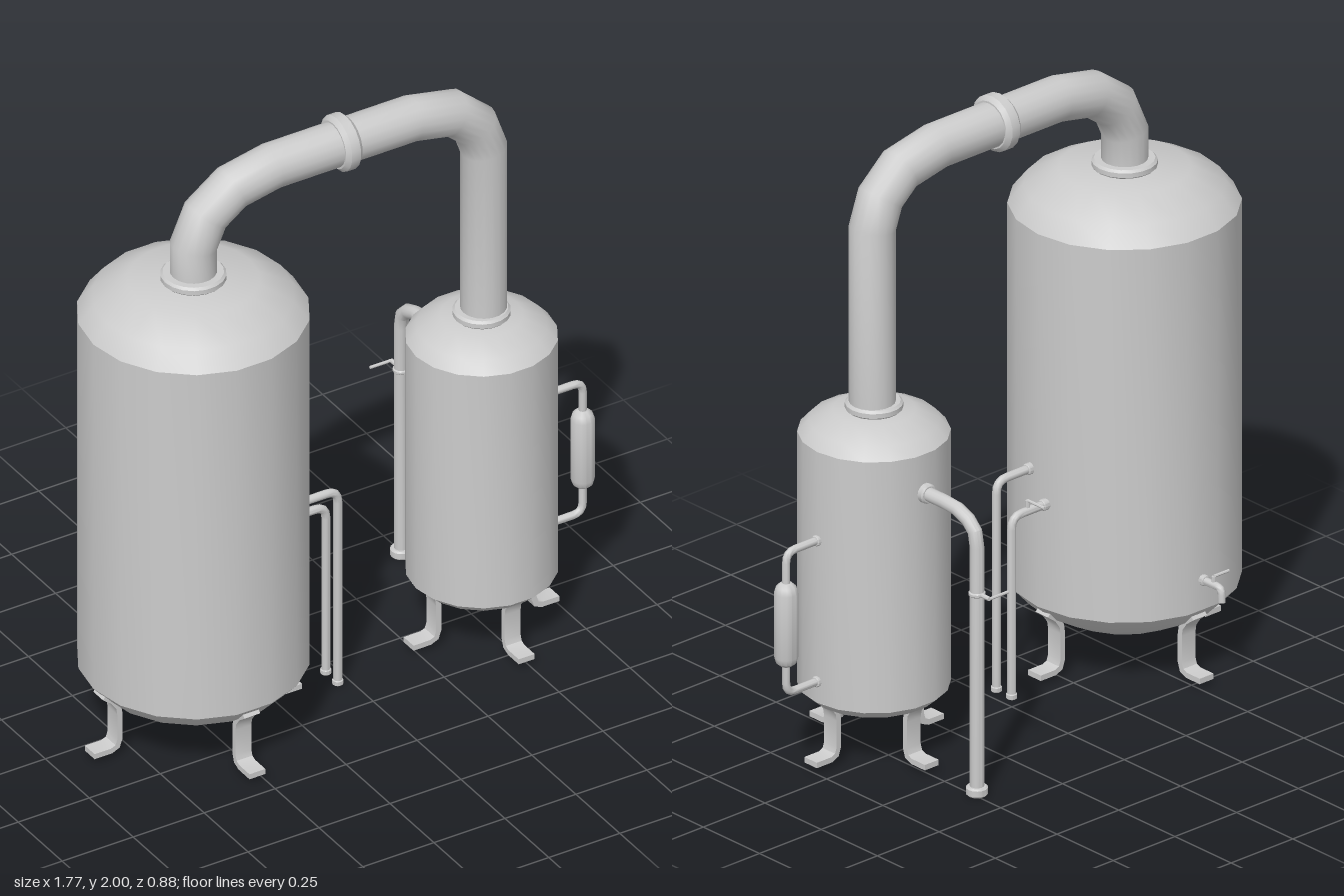
import * as THREE from 'three';
import { toCreasedNormals } from 'three/addons/utils/BufferGeometryUtils.js';

const V = (x, y, z) => new THREE.Vector3(x, y, z);
const material = new THREE.MeshStandardMaterial({ color: 0xcccccc });
const Z = 0.075; // depth of the shared centre line

function add(parent, name, geometry, x = 0, y = 0, z = 0) {
  const mesh = new THREE.Mesh(toCreasedNormals(geometry, 0.65), material);
  mesh.name = name;
  mesh.position.set(x, y, z);
  parent.add(mesh);
  return mesh;
}

// Turned part from [radius, height] pairs, with a corner on the x axis
function turned(profile, sides = 18) {
  return new THREE.LatheGeometry(profile.map(p => new THREE.Vector2(p[0], p[1])), sides)
    .rotateY(Math.PI / 2);
}

// Disc with small bevels, running from y = 0 to y = h
function collar(r, h, sides = 18) {
  const b = Math.min(h * 0.25, r * 0.15);
  return turned([[0, 0], [r - b, 0], [r, b], [r, h - b], [r - b, h], [0, h]], sides);
}

// Sweep a closed [normal, binormal] section along a planar path with mitred joints
function sweep(path, section) {
  const dirs = path.slice(1).map((p, i) => p.clone().sub(path[i]).normalize());
  const bin = V(0, 0, 0);
  for (let i = 1; i < dirs.length && bin.lengthSq() < 1e-4; i++) bin.crossVectors(dirs[i - 1], dirs[i]);
  if (bin.lengthSq() < 1e-4) bin.crossVectors(dirs[0], Math.abs(dirs[0].y) > 0.9 ? V(1, 0, 0) : V(0, 1, 0));
  bin.normalize();
  const pos = [], index = [], n = section.length, last = path.length - 1;
  path.forEach((p, i) => {
    const a = dirs[Math.max(i - 1, 0)], b = dirs[Math.min(i, last - 1)];
    const t = a.clone().add(b).normalize();
    const normal = bin.clone().cross(t).divideScalar(t.dot(a));
    for (const [u, v] of section) {
      pos.push(...p.clone().addScaledVector(normal, u).addScaledVector(bin, v).toArray());
    }
  });
  for (let i = 0; i < last; i++) {
    for (let j = 0; j < n; j++) {
      const a = i * n + j, b = i * n + (j + 1) % n;
      index.push(a, b, a + n, b, b + n, a + n);
    }
  }
  for (let j = 1; j < n - 1; j++) {
    index.push(0, j + 1, j, last * n, last * n + j, last * n + j + 1);
  }
  const g = new THREE.BufferGeometry();
  g.setAttribute('position', new THREE.Float32BufferAttribute(pos, 3));
  g.setIndex(index);
  return g;
}

function pipe(path, r, sides = 12) {
  return sweep(path, Array.from({ length: sides }, (_, i) => {
    const a = i / sides * Math.PI * 2;
    return [Math.cos(a) * r, Math.sin(a) * r];
  }));
}

// Replace the inner corners of a path with short bends
function rounded(points, cut) {
  const out = [points[0]];
  for (let i = 1; i < points.length - 1; i++) {
    const toward = q => points[i].clone().add(q.clone().sub(points[i]).setLength(cut));
    out.push(...new THREE.QuadraticBezierCurve3(
      toward(points[i - 1]), points[i], toward(points[i + 1])).getPoints(4));
  }
  out.push(points[points.length - 1]);
  return out;
}

// Four bent strap legs around a tank; shift moves them in or out
function addLegs(parent, x, shift) {
  const path = [[0.33, 0.226], [0.3, 0.203], [0.28, 0.175], [0.276, 0.15],
    [0.276, 0.06], [0.284, 0.036], [0.305, 0.027], [0.365, 0.027]]
    .map(([r, y]) => V(r + shift, y, 0));
  const strap = [[-0.009, -0.028], [0.009, -0.028], [0.009, 0.028], [-0.009, 0.028]];
  for (let i = 0; i < 4; i++) {
    add(parent, 'leg', sweep(path, strap), x, 0, Z).rotation.y = i * Math.PI / 2;
  }
}

// Small tap: upright stem with a thin lever
function addTap(parent, base, top, end) {
  add(parent, 'tapStem', pipe([base, top], 0.007, 8));
  add(parent, 'tapLever', pipe([top, end], 0.005, 8));
}

export function createModel() {
  const model = new THREE.Group();
  const big = new THREE.Group(), small = new THREE.Group(), link = new THREE.Group();
  big.name = 'largeTank';
  small.name = 'smallTank';
  link.name = 'connectingPipe';
  model.add(big, small, link);
  const bx = -0.525, sx = 0.49;

  // Large tank
  add(big, 'largeTankBody', turned([[0, 0.138], [0.2, 0.14], [0.305, 0.198], [0.352, 0.25],
    [0.352, 1.485], [0.305, 1.545], [0.2, 1.6], [0, 1.602]]), bx, 0, Z);
  add(big, 'largeTankCollar', collar(0.1, 0.03), bx, 1.598, Z);
  addLegs(big, bx, 0);

  // Two outlet pipes on the side of the large tank
  for (const [y, z] of [[0.695, 0.113], [0.6, 0.045]]) {
    add(big, 'outletPipe', pipe(rounded([V(-0.2, y, z), V(-0.04, y, z), V(-0.04, 0.005, z)], 0.04), 0.0135));
    add(big, 'outletCollar', collar(0.018, 0.03, 12), -0.19, y, z).rotation.z = -Math.PI / 2;
    add(big, 'outletFoot', collar(0.017, 0.018, 12), -0.04, 0, z);
  }
  addTap(big, V(-0.105, 0.6, 0.045), V(-0.105, 0.635, 0.045), V(-0.105, 0.635, -0.03));

  // Drain spout at the back of the large tank
  add(big, 'drainSpout', pipe(rounded([V(bx, 0.35, -0.25), V(bx, 0.35, -0.357), V(bx, 0.305, -0.357)], 0.02), 0.012));
  add(big, 'drainCollar', collar(0.017, 0.025, 12), bx, 0.35, -0.262).rotation.x = -Math.PI / 2;
  addTap(big, V(bx, 0.35, -0.322), V(bx, 0.378, -0.322), V(bx - 0.06, 0.378, -0.322));

  // Small tank
  add(small, 'smallTankBody', turned([[0, 0.153], [0.125, 0.155], [0.198, 0.187], [0.231, 0.217],
    [0.231, 1.048], [0.198, 1.085], [0.125, 1.12], [0, 1.122]]), sx, 0, Z);
  add(small, 'smallTankCollar', collar(0.088, 0.03), sx, 1.118, Z);
  addLegs(small, sx, -0.108);

  // Level gauge on the side of the small tank
  add(small, 'gaugePipe', pipe(rounded([V(0.7, 0.755, Z), V(0.846, 0.755, Z),
    V(0.846, 0.288, Z), V(0.7, 0.288, Z)], 0.035), 0.0125));
  add(small, 'gaugeBulb', turned([[0, 0.378], [0.018, 0.381], [0.031, 0.392], [0.037, 0.412],
    [0.037, 0.622], [0.031, 0.642], [0.018, 0.654], [0, 0.657]], 14), 0.846, 0, Z);
  for (const y of [0.288, 0.755]) {
    add(small, 'gaugeCollar', collar(0.017, 0.02, 12), 0.71, y, Z).rotation.z = -Math.PI / 2;
  }

  // Overflow pipe behind the small tank
  add(small, 'overflowPipe', pipe([V(sx, 0.92, -0.12), V(sx, 0.92, -0.24), V(sx, 0.916, -0.297),
    V(sx, 0.897, -0.345), V(sx, 0.868, -0.374), V(sx, 0.82, -0.383), V(sx, 0.01, -0.383)], 0.022, 14));
  add(small, 'overflowCollar', collar(0.031, 0.03, 14), sx, 0.92, -0.142).rotation.x = -Math.PI / 2;
  add(small, 'overflowFoot', collar(0.034, 0.03, 14), sx, 0, -0.383);
  add(small, 'overflowJoint', collar(0.026, 0.014, 14), sx, 0.66, -0.383);
  addTap(small, V(sx, 0.667, -0.39), V(sx, 0.667, -0.439), V(sx - 0.075, 0.667, -0.439));

  // Arched pipe joining both tanks, with a flange at its middle
  add(link, 'archPipe', pipe([[bx, 1.61], [bx, 1.72], [-0.483, 1.815], [-0.39, 1.882], [-0.25, 1.91],
    [0.24, 1.91], [0.385, 1.88], [0.465, 1.81], [0.497, 1.72], [0.497, 1.13]]
    .map(([x, y]) => V(x, y, Z)), 0.071, 18));
  add(link, 'archFlange', collar(0.09, 0.058), 0.024, 1.91, Z).rotation.z = Math.PI / 2;
  return model;
}
